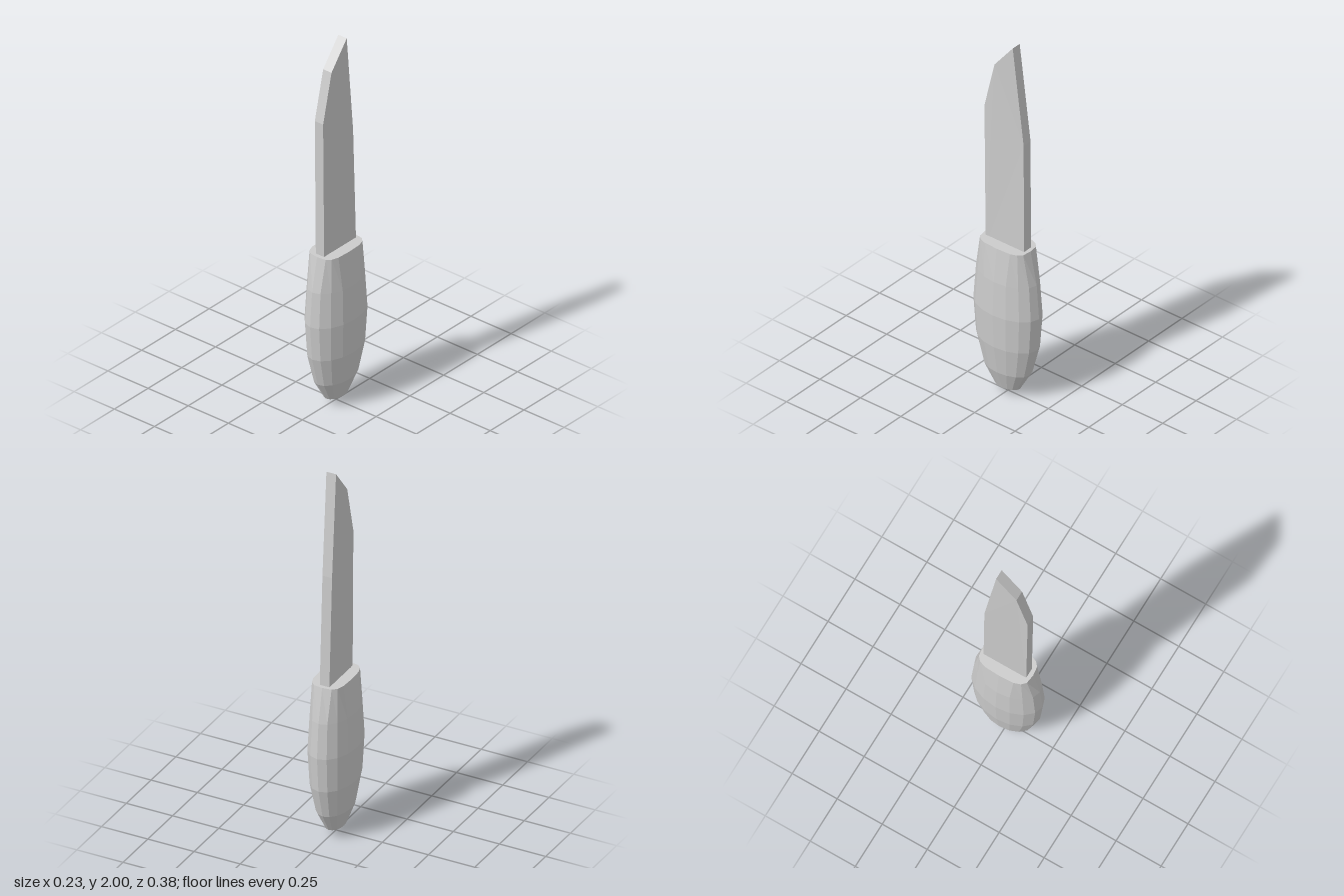
import * as THREE from 'three';

const grey = () => new THREE.MeshStandardMaterial({ color: 0xcccccc, flatShading: true });

function finish(geometry, name) {
  const flat = geometry.index ? geometry.toNonIndexed() : geometry;
  flat.computeVertexNormals();
  const mesh = new THREE.Mesh(flat, grey());
  mesh.name = name;
  return mesh;
}

// Low-poly ellipsoid grip, cut flat at the top
function createHandle() {
  const middle = 0.493, radius = 0.488, topY = 0.86;
  const halfX = 0.116, halfZ = 0.192;
  const profile = [];
  for (let i = 0; i <= 5; i++) {
    const a = (i * Math.PI) / 8;
    profile.push(new THREE.Vector2(Math.sin(a), middle - radius * Math.cos(a)));
  }
  profile.push(new THREE.Vector2(0.72, topY), new THREE.Vector2(0, topY));
  const geometry = new THREE.LatheGeometry(profile, 16);
  geometry.scale(halfX, 1, halfZ);

  // The cut rim is squarer than an ellipse
  const pos = geometry.attributes.position;
  const square = (v) => Math.sign(v) * Math.abs(v) ** 0.6;
  for (let i = 0; i < pos.count; i++) {
    const x = pos.getX(i) / halfX, z = pos.getZ(i) / halfZ;
    const r = Math.hypot(x, z);
    if (Math.abs(pos.getY(i) - topY) > 1e-4 || r < 0.1) continue;
    pos.setX(i, 0.085 * square(x / r));
    pos.setZ(i, 0.14 * square(z / r));
  }
  return finish(geometry, 'handle');
}

// Flat blade with a clipped point, drawn as (-z, y) and extruded along x
function createBlade() {
  const outline = [
    [-0.117, 0.8], [0.12, 0.8], [0.109, 1.46], [0.05, 2],
    [-0.063, 1.86], [-0.125, 1.6],
  ].map(([x, y]) => new THREE.Vector2(x, y));
  const geometry = new THREE.ExtrudeGeometry(new THREE.Shape(outline), {
    depth: 0.052, bevelEnabled: false,
  });
  geometry.rotateY(Math.PI / 2).translate(-0.027, 0, 0);

  // The corner of the spine bends slightly to one side
  const pos = geometry.attributes.position;
  for (let i = 0; i < pos.count; i++) {
    if (Math.abs(pos.getY(i) - 1.46) < 1e-4) pos.setX(i, pos.getX(i) - 0.01);
  }
  return finish(geometry, 'blade');
}

export function createModel() {
  const knife = new THREE.Group();
  knife.name = 'knife';
  knife.add(createHandle(), createBlade());
  return knife;
}
